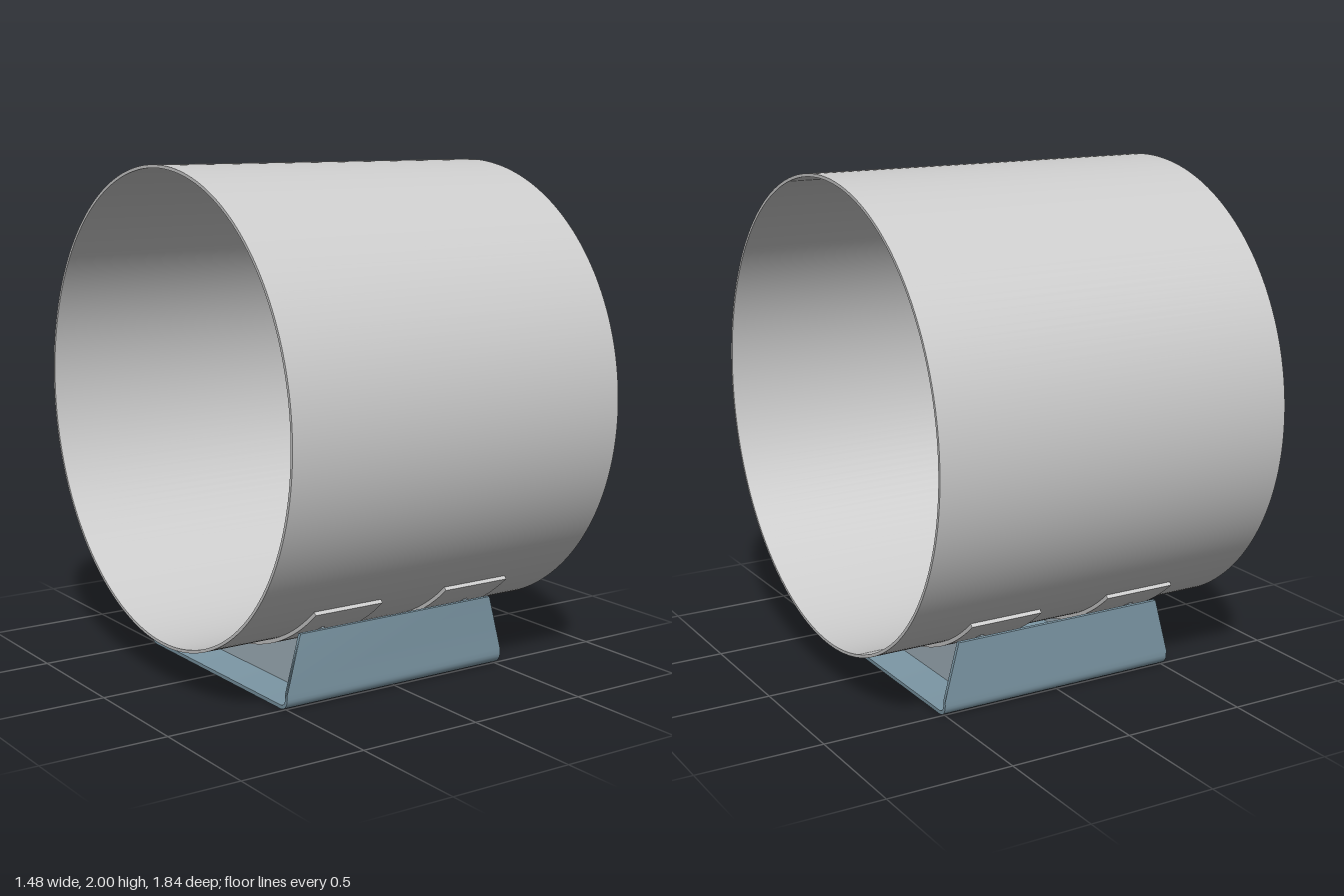
import * as THREE from 'three';
import { toCreasedNormals } from 'three/addons/utils/BufferGeometryUtils.js';

const AXIS_Y = 1.08, PIPE_R = 0.92, PAD_R = 0.935;
const WALL = 0.015, HALF_Z = 0.525, WALL_TOP = 0.29;

const grey = new THREE.MeshStandardMaterial({ color: 0xcccccc });
const blue = new THREE.MeshStandardMaterial({ color: 0x7c97a5 });
const paleBlue = new THREE.MeshStandardMaterial({ color: 0xa5b5bf });

// Extrudes a (z, y) section along x, centred on the given x
function extrudeX(shape, length, x = 0) {
  const geo = new THREE.ExtrudeGeometry(shape, { depth: length, bevelEnabled: false, curveSegments: 96 });
  geo.translate(0, 0, -length / 2);
  geo.rotateY(Math.PI / 2);
  geo.translate(x, 0, 0);
  return geo;
}

function addPart(group, name, geo, material) {
  const mesh = new THREE.Mesh(toCreasedNormals(geo, 0.6), material);
  mesh.name = name;
  group.add(mesh);
}

// Half of the channel outline, from one wall top round the bend to the floor
function channelEdge(inset, radius) {
  const z = HALF_Z - inset, pts = [[z, WALL_TOP], [z, 0.065]];
  for (let i = 0; i <= 6; i++) {
    const a = (i / 6) * Math.PI / 2;
    pts.push([z - radius + radius * Math.cos(a), inset + radius - radius * Math.sin(a)]);
  }
  const other = pts.map(([px, py]) => [-px, py]).reverse();
  return [...pts, ...other].map(([px, py]) => new THREE.Vector2(px, py));
}

export function createModel() {
  const model = new THREE.Group();
  model.name = 'pipeOnSaddle';

  // Thin-walled pipe
  const ring = new THREE.Shape().absarc(0, AXIS_Y, PIPE_R, 0, Math.PI * 2);
  ring.holes.push(new THREE.Path().absarc(0, AXIS_Y, PIPE_R - 0.012, 0, Math.PI * 2, true));
  addPart(model, 'pipe', extrudeX(ring, 1.48), grey);

  // Folded channel base, with walls tapering towards the top
  const outline = [...channelEdge(0, 0.045), ...channelEdge(WALL, 0.03).reverse()];
  const base = extrudeX(new THREE.Shape(outline), 1.02);
  const pos = base.attributes.position;
  for (let i = 0; i < pos.count; i++) {
    const t = Math.max(0, (pos.getY(i) - 0.065) / (WALL_TOP - 0.065));
    pos.setX(i, Math.sign(pos.getX(i)) * (0.51 - 0.06 * t));
  }
  addPart(model, 'channelBase', base, blue);

  // Curved bearing pads and the webs that carry them
  const down = -Math.PI / 2, spread = 0.733;
  const padShape = new THREE.Shape();
  padShape.absarc(0, AXIS_Y, PAD_R, down - spread, down + spread, false);
  padShape.absarc(0, AXIS_Y, PIPE_R, down + spread, down - spread, true);

  const webZ = HALF_Z - WALL, cut = 0.035;
  const reach = Math.asin(webZ / PAD_R);
  const webShape = new THREE.Shape();
  webShape.moveTo(-webZ, WALL + cut);
  webShape.lineTo(-webZ + cut, WALL);
  webShape.lineTo(webZ - cut, WALL);
  webShape.lineTo(webZ, WALL + cut);
  webShape.lineTo(webZ, WALL_TOP);
  webShape.absarc(0, AXIS_Y, PAD_R, down + reach, down - reach, true);
  webShape.lineTo(-webZ, WALL_TOP);

  for (const [side, s] of [['left', 1], ['right', -1]]) {
    addPart(model, side + 'Pad', extrudeX(padShape, 0.3, s * 0.3), grey);
    addPart(model, side + 'Web', extrudeX(webShape, WALL, s * 0.34), paleBlue);
  }
  return model;
}
